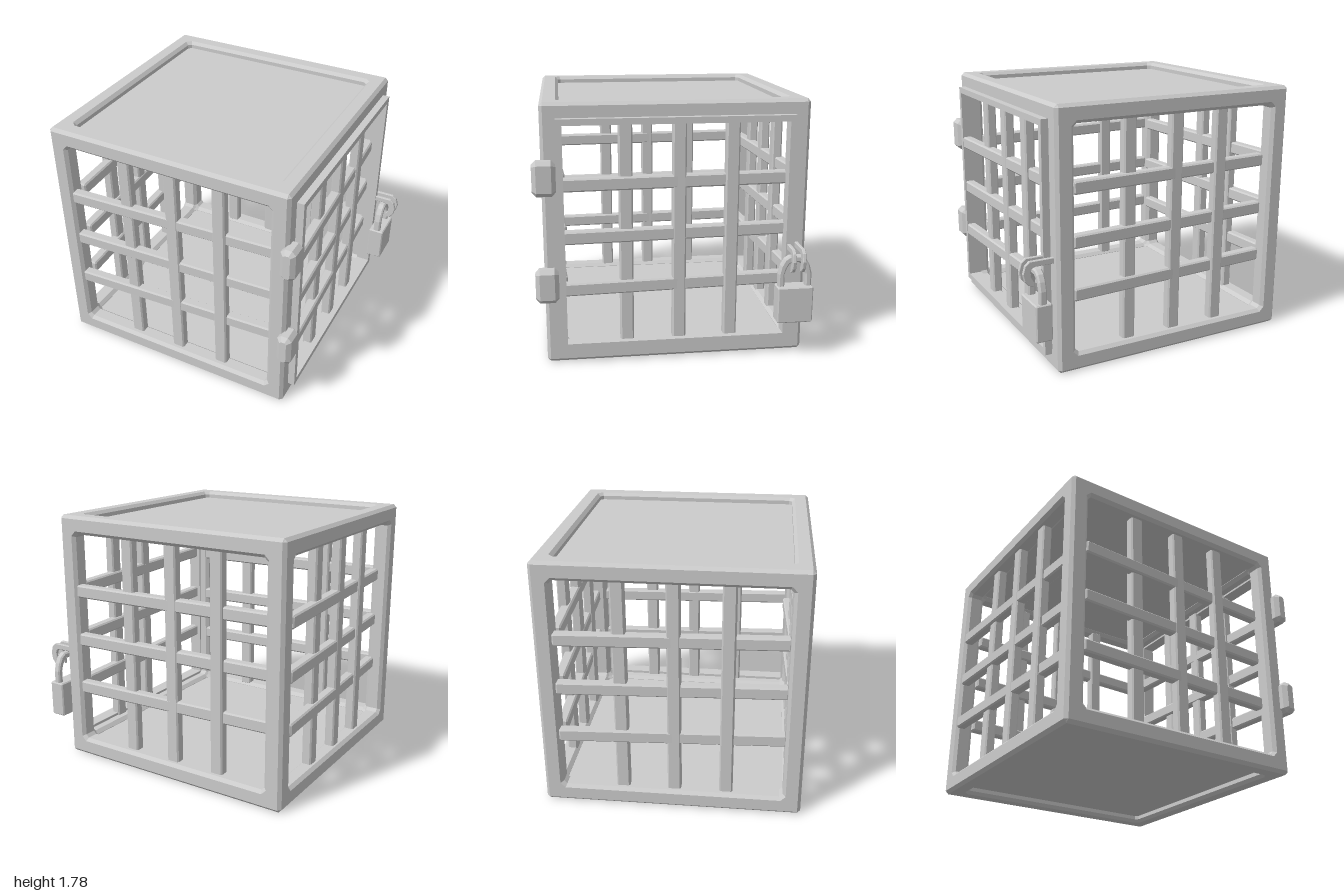
import * as THREE from 'three';

const grey = new THREE.MeshStandardMaterial({ color: 0xcccccc, flatShading: true });

function add(parent, name, geometry, x = 0, y = 0, z = 0) {
  const mesh = new THREE.Mesh(geometry, grey);
  mesh.name = name;
  mesh.position.set(x, y, z);
  parent.add(mesh);
  return mesh;
}

// Rectangle outline with cut corners
function cutRect(Target, w, h, c) {
  const a = w / 2, b = h / 2;
  const pts = c > 0
    ? [[-a + c, -b], [a - c, -b], [a, -b + c], [a, b - c], [a - c, b], [-a + c, b], [-a, b - c], [-a, -b + c]]
    : [[-a, -b], [a, -b], [a, b], [-a, b]];
  return new Target(pts.map(([x, y]) => new THREE.Vector2(x, y)));
}

// Extrusion of total depth d, centred on z, with chamfered rims
function slab(shape, d, c) {
  const geometry = new THREE.ExtrudeGeometry(shape, {
    depth: d - 2 * c, bevelEnabled: c > 0, bevelThickness: c, bevelSize: c,
    bevelOffset: -c, bevelSegments: 1, curveSegments: 6,
  });
  return geometry.translate(0, 0, -(d - 2 * c) / 2);
}

const chamferBox = (w, h, d, c) => slab(cutRect(THREE.Shape, w, h, c), d, c);

function ring(w, h, holeW, holeH, d, c) {
  const shape = cutRect(THREE.Shape, w, h, c);
  shape.holes.push(cutRect(THREE.Path, holeW, holeH, c));
  return slab(shape, d, c);
}

// Three upright and three slightly slanted level bars, interlaced
function barPanel(name, distance) {
  const panel = new THREE.Group();
  panel.name = name;
  for (const i of [-1, 0, 1]) {
    add(panel, 'uprightBar', chamferBox(0.092, 1.56, 0.07, 0.01), 0.015 + i * 0.357, 0, distance + (i === 0 ? 0.002 : 0));
    const level = add(panel, 'levelBar', chamferBox(1.54, 0.088, 0.07, 0.01), 0, i * 0.357, distance + (i === 0 ? -0.002 : 0.002));
    level.rotation.y = 0.052;
  }
  return panel;
}

export function createModel() {
  const model = new THREE.Group();
  model.name = 'cage';

  // Cube-shaped body, modelled around its own centre
  const body = new THREE.Group();
  body.name = 'body';
  body.position.set(-0.107, 0.89, -0.02);
  model.add(body);

  const T = 0.125, H = 0.89;
  for (let k = 0; k < 6; k++) {
    const holder = new THREE.Group();
    holder.name = 'frameSide';
    if (k < 4) holder.rotation.y = k * Math.PI / 2;
    else holder.rotation.x = (k === 4 ? -1 : 1) * Math.PI / 2;
    add(holder, 'frameRing', ring(2 * H, 2 * H, 1.525, 1.525, T, 0.022), 0, 0, H - T / 2);
    body.add(holder);
  }

  // Recessed roof and floor panels
  for (const s of [-1, 1]) {
    add(body, s > 0 ? 'roofPanel' : 'floorPanel', new THREE.BoxGeometry(1.58, 0.05, 1.58), 0, s * 0.815, 0);
  }

  // Bars on the four sides; those on the right belong to the door
  const sides = [['frontBars', 0.81], ['doorBars', 0.86], ['backBars', 0.81], ['leftBars', 0.816]];
  sides.forEach(([name, distance], k) => {
    const panel = barPanel(name, distance);
    panel.rotation.y = k * Math.PI / 2;
    body.add(panel);
  });

  // Door frame laid over the side opening
  const door = add(model, 'doorFrame', ring(1.57, 1.575, 1.49, 1.49, 0.1, 0), 0.782, 0.892, -0.016);
  door.rotation.y = Math.PI / 2;

  // Hinges
  for (const y of [0.565, 1.295]) {
    add(model, 'hinge', chamferBox(0.105, 0.235, 0.155, 0.028), 0.798, y, 0.853);
  }

  // Pair of hooked tabs, one on the door and one on the frame
  const hook = new THREE.Shape([
    [0.74, 0.8], [0.95, 0.8], [0.98, 0.775], [0.996, 0.72], [0.985, 0.67], [0.96, 0.64], [0.925, 0.63],
    [0.925, 0.665], [0.94, 0.69], [0.945, 0.725], [0.935, 0.75], [0.915, 0.76], [0.74, 0.76],
  ].map(([x, y]) => new THREE.Vector2(x, y)));
  for (const z of [-0.78, -0.846]) {
    add(model, 'hookTab', slab(hook, 0.024, 0.004), 0, 0, z);
  }

  // Padlock
  const lock = new THREE.Group();
  lock.name = 'padlock';
  lock.position.set(0.888, 0, -0.81);
  model.add(lock);
  add(lock, 'lockBody', chamferBox(0.115, 0.255, 0.245, 0.008), 0, 0.397, 0);

  const outer = [[0.115, 0.5], [0.115, 0.61], [0.1, 0.67], [0.075, 0.715], [0.04, 0.738]];
  const inner = [[0.072, 0.5], [0.072, 0.61], [0.06, 0.65], [0.042, 0.68], [0.02, 0.694]];
  const mirrored = (pts) => [...pts, ...pts.slice().reverse().map(([x, y]) => [-x, y])];
  const outline = [...mirrored(outer), ...mirrored(inner).reverse()];
  const shackle = new THREE.Shape(outline.map(([x, y]) => new THREE.Vector2(x, y)));
  add(lock, 'shackle', slab(shackle, 0.052, 0.01)).rotation.y = Math.PI / 2;

  return model;
}
